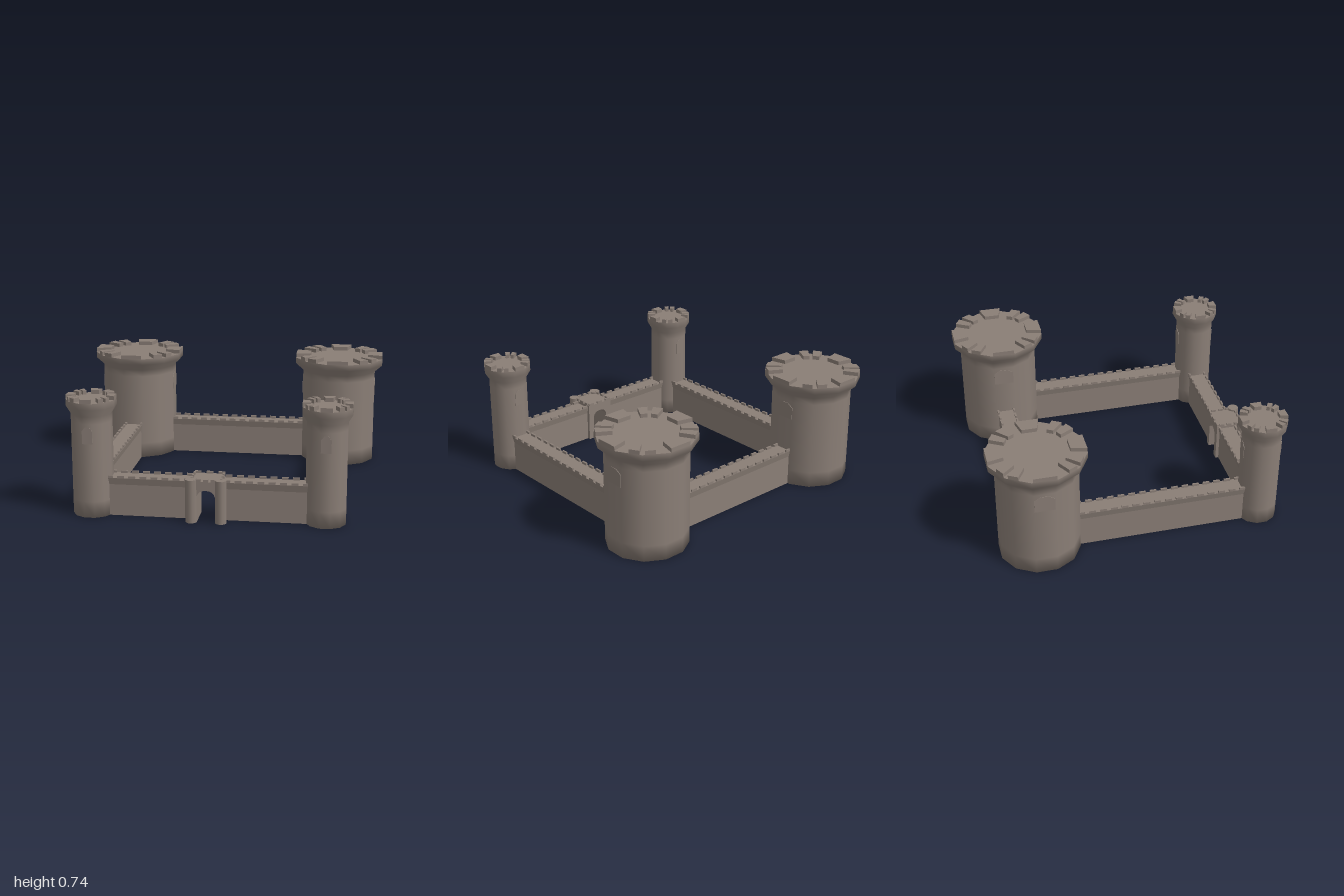
import * as THREE from 'three';

const STEP = Math.PI / 6;
const rad = THREE.MathUtils.degToRad;

export function createModel() {
  const stone = new THREE.MeshStandardMaterial({ color: 0x8a7e76 });
  stone.name = 'stone';
  const root = new THREE.Group();
  root.name = 'castle';

  const add = (parent, name, geometry, x = 0, y = 0, z = 0) => {
    const mesh = new THREE.Mesh(geometry, stone);
    mesh.name = name;
    mesh.position.set(x, y, z);
    parent.add(mesh);
    return mesh;
  };
  const box = (parent, name, w, h, d, x, y, z) =>
    add(parent, name, new THREE.BoxGeometry(w, h, d), x, y + h / 2, z);

  // Point at an angle on a twelve-sided ring with the given apothem
  const ringPoint = (apothem, a) => {
    const r = apothem / Math.cos(a - Math.round(a / STEP) * STEP);
    return new THREE.Vector2(r * Math.cos(a), r * Math.sin(a));
  };

  // Twelve-sided tower: shaft, flared head, roof, merlons and two windows
  function tower(name, x, z, body, head, windowWidth, windowTurn) {
    const group = new THREE.Group();
    group.name = name;
    group.position.set(x, 0, z);
    root.add(group);
    const k = 1 / Math.cos(Math.PI / 12);
    const profile = [[0, 0], [body, 0], [body, 0.1], [body, 0.58], [body, 0.625],
      [head, 0.672], [head, 0.712]].map(([r, y]) => new THREE.Vector2(r * k, y));
    add(group, 'towerShaft', new THREE.LatheGeometry(profile, 12, Math.PI / 12));
    const roof = new THREE.CircleGeometry(head * k, 12, Math.PI / 12);
    add(group, 'towerRoof', roof.rotateX(-Math.PI / 2), 0, 0.712, 0);

    for (let quarter = 0; quarter < 4; quarter++) {
      for (const [from, to] of [[-13.5, 13.5], [30, 42], [48, 60]]) {
        const a = rad(from + quarter * 90), b = rad(to + quarter * 90);
        const shape = new THREE.Shape([ringPoint(head, a), ringPoint(head, b),
          ringPoint(head * 0.67, b), ringPoint(head * 0.67, a)]);
        const merlon = new THREE.ExtrudeGeometry(shape, { depth: 0.026, bevelEnabled: false });
        add(group, 'towerMerlon', merlon.rotateX(-Math.PI / 2), 0, 0.711, 0);
      }
    }

    const w = windowWidth / 2;
    const pane = new THREE.Shape([[-w, 0.46], [w, 0.46], [w, 0.54], [w * 0.4, 0.563],
      [-w * 0.4, 0.563], [-w, 0.54]].map(([px, py]) => new THREE.Vector2(px, py)));
    for (const turn of [windowTurn, windowTurn + Math.PI]) {
      const plate = new THREE.ExtrudeGeometry(pane, { depth: 0.006, bevelEnabled: false });
      plate.translate(0, 0, body - 0.003).rotateY(turn);
      add(group, 'towerWindow', plate);
    }
  }

  // Curtain wall along x: narrow base, overhanging parapet, merlons on both edges
  function wall(name, length, x, z, turn = 0) {
    const group = new THREE.Group();
    group.name = name;
    group.position.set(x, 0, z);
    group.rotation.y = turn;
    root.add(group);
    const section = new THREE.Shape([[-0.05, 0], [0.05, 0], [0.05, 0.195], [0.059, 0.237],
      [-0.059, 0.237], [-0.05, 0.195]].map(([px, py]) => new THREE.Vector2(px, py)));
    const core = new THREE.ExtrudeGeometry(section, { depth: length, bevelEnabled: false });
    add(group, 'wallBody', core.translate(0, 0, -length / 2).rotateY(Math.PI / 2));
    const count = Math.round(length / 0.07);
    const pitch = length / count;
    for (let i = 0; i < count; i++) {
      for (const side of [-1, 1]) {
        box(group, 'wallMerlon', pitch * 0.6, 0.016, 0.012,
          -length / 2 + (i + 0.5) * pitch, 0.236, side * 0.053);
      }
    }
  }

  for (const s of [-1, 1]) {
    tower('backTower', s * 0.705, -0.63, 0.245, 0.295, 0.125, Math.PI / 2);
    tower('frontTower', s * 0.705, 0.775, 0.12, 0.147, 0.062, 0);
    wall('sideWall', 1.1, s * 0.705, 0.14, Math.PI / 2);
    wall('frontWall', 0.54, s * 0.355, 0.775);
  }
  wall('backWall', 0.96, 0, -0.63);

  // Gatehouse with an arched passage
  const gate = new THREE.Group();
  gate.name = 'gatehouse';
  root.add(gate);
  const front = new THREE.Shape();
  front.moveTo(0.095, 0);
  front.lineTo(0.095, 0.253);
  front.lineTo(-0.095, 0.253);
  front.lineTo(-0.095, 0);
  front.lineTo(-0.055, 0);
  front.lineTo(-0.055, 0.16);
  front.quadraticCurveTo(-0.045, 0.198, 0, 0.198);
  front.quadraticCurveTo(0.045, 0.198, 0.055, 0.16);
  front.lineTo(0.055, 0);
  const body = new THREE.ExtrudeGeometry(front, { depth: 0.18, bevelEnabled: false, curveSegments: 4 });
  add(gate, 'gateArch', body, 0, 0, 0.705);
  for (const s of [-1, 1]) {
    const pillar = new THREE.CylinderGeometry(0.036, 0.036, 0.265, 8);
    pillar.rotateY(Math.PI / 8);
    add(gate, 'gatePillar', pillar, s * 0.089, 0.1325, 0.877);
    for (const z of [0.74, 0.79, 0.84]) box(gate, 'gateMerlon', 0.012, 0.015, 0.03, s * 0.089, 0.252, z);
  }
  for (let i = -1; i <= 1; i++) {
    box(gate, 'gateMerlon', 0.04, 0.015, 0.012, i * 0.072, 0.252, 0.711);
    box(gate, 'gateMerlon', 0.03, 0.015, 0.012, i * 0.045, 0.252, 0.879);
  }
  return root;
}
